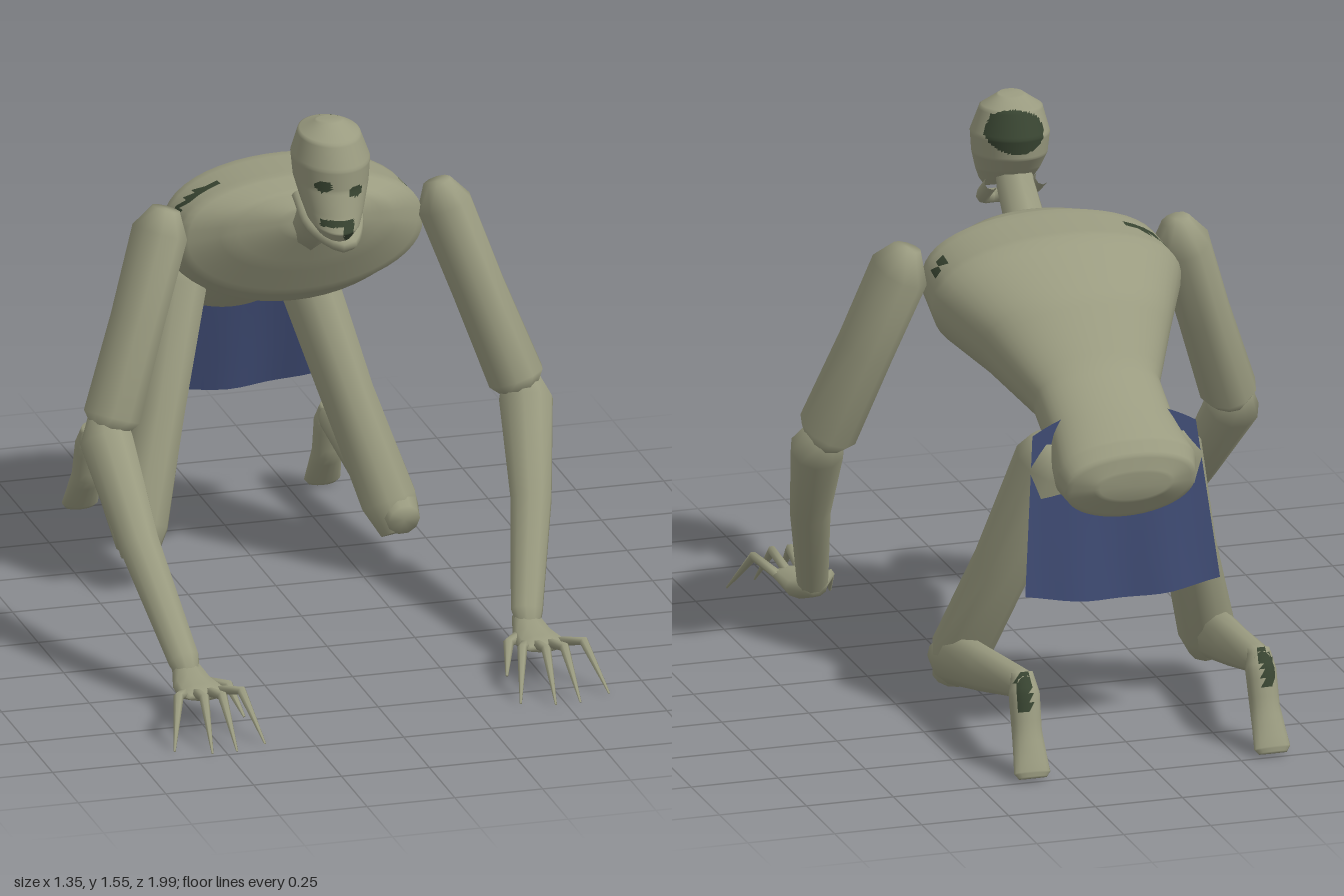
import * as THREE from 'three';

const V = (x, y, z) => new THREE.Vector3(x, y, z);
const skin = new THREE.MeshStandardMaterial({ color: 0x9a9b80 });
skin.name = 'skin';
const dark = new THREE.MeshStandardMaterial({ color: 0x384431 });
dark.name = 'darkPatch';
const cloth = new THREE.MeshStandardMaterial({ color: 0x3d4970, side: THREE.DoubleSide });
cloth.name = 'cloth';

// Skin a list of elliptical rings { c: centre, u, v: half axes }; isDark(point) picks painted faces
function loft(name, rings, { n = 12, sub = 1, flat = 1, isDark = () => false } = {}) {
  const list = [];
  rings.forEach((r, i) => {
    const q = rings[i + 1];
    for (let k = 0; k < (q ? sub : 1); k++) {
      const t = k / sub, mix = key => (q ? r[key].clone().lerp(q[key], t) : r[key].clone());
      list.push({ c: mix('c'), u: mix('u'), v: mix('v') });
    }
  });
  const pts = [], m = list.length;
  for (const { c, u, v } of list) {
    for (let j = 0; j < n; j++) {
      const a = (j / n) * Math.PI * 2, s = Math.sin(a);
      const h = s > 0 ? Math.pow(s, flat) : s;
      pts.push(c.clone().addScaledVector(u, Math.cos(a)).addScaledVector(v, h));
    }
  }
  pts.push(list[0].c.clone(), list[m - 1].c.clone());
  const mid = list[m >> 1];
  const along = list[m - 1].c.clone().sub(list[0].c);
  const flip = mid.u.clone().cross(mid.v).dot(along) < 0;
  const faces = [[], []];
  const tri = (a, b, c) => {
    const p = pts[a].clone().add(pts[b]).add(pts[c]).divideScalar(3);
    faces[isDark(p) ? 1 : 0].push(a, flip ? c : b, flip ? b : c);
  };
  for (let j = 0; j < n; j++) {
    const k = (j + 1) % n;
    for (let i = 0; i < m - 1; i++) {
      const a = i * n + j, b = i * n + k;
      tri(a, b, b + n);
      tri(a, b + n, a + n);
    }
    tri(m * n, k, j);
    tri(m * n + 1, (m - 1) * n + j, (m - 1) * n + k);
  }
  const g = new THREE.BufferGeometry().setFromPoints(pts);
  g.setIndex([...faces[0], ...faces[1]]);
  g.addGroup(0, faces[0].length, 0);
  if (faces[1].length) g.addGroup(faces[0].length, faces[1].length, 1);
  g.computeVertexNormals();
  const mesh = new THREE.Mesh(g, [skin, dark]);
  mesh.name = name;
  return mesh;
}

// Limb along points [x, y, z, sideways radius, other radius]
function limb(name, points, opts) {
  const P = points.map(p => V(p[0], p[1], p[2]));
  const rings = points.map((p, i) => {
    const d = P[Math.min(i + 1, P.length - 1)].clone().sub(P[Math.max(i - 1, 0)]).normalize();
    const u = V(1, 0, 0).addScaledVector(d, -d.x).normalize();
    const v = d.clone().cross(u);
    return { c: P[i], u: u.multiplyScalar(p[3]), v: v.multiplyScalar(p[4] ?? p[3]) };
  });
  return loft(name, rings, opts);
}

// Ring from two opposite profile points (z, y), half width and sideways shift
const profileRing = ([z1, y1, z2, y2, w, x = 0]) => ({
  c: V(x, (y1 + y2) / 2, (z1 + z2) / 2),
  u: V(w, 0, 0),
  v: V(0, (y1 - y2) / 2, (z1 - z2) / 2),
});

function makeTorso() {
  // top z, y; bottom z, y; half width
  const rings = [
    [0.12, 1.24, 0.12, 1.16, 0.07],
    [0.08, 1.28, 0.06, 1.05, 0.23],
    [0.0, 1.3, 0.0, 0.95, 0.345],
    [-0.2, 1.29, -0.08, 0.9, 0.355],
    [-0.4, 1.19, -0.22, 0.86, 0.27],
    [-0.55, 1.03, -0.42, 0.81, 0.18],
    [-0.68, 0.955, -0.55, 0.74, 0.18],
    [-0.8, 0.9, -0.68, 0.67, 0.2],
    [-0.83, 0.86, -0.75, 0.66, 0.185],
    [-0.835, 0.81, -0.82, 0.73, 0.1],
  ].map(profileRing);
  return loft('torso', rings, {
    n: 48, sub: 6, flat: 0.75,
    isDark: p => p.y > 1.13 && Math.abs(p.z + 0.085) < 0.018 &&
      ((p.x < -0.2 && p.x > -0.36) || (p.x > 0.3 && p.x < 0.335)),
  });
}

function makeHead() {
  const head = new THREE.Group();
  head.name = 'head';
  // front z, y; back z, y; half width; shift
  const rings = [
    [0.3, 1.556, 0.24, 1.552, 0.035],
    [0.37, 1.51, 0.17, 1.53, 0.085],
    [0.397, 1.44, 0.13, 1.46, 0.107, 0.005],
    [0.395, 1.38, 0.14, 1.4, 0.102, 0.005],
    [0.415, 1.31, 0.18, 1.355, 0.086],
    [0.43, 1.27, 0.22, 1.32, 0.072, -0.005],
    [0.41, 1.245, 0.25, 1.3, 0.055, -0.005],
  ].map(profileRing);
  const spot = (p, x, y, rx, ry) => ((p.x - x) / rx) ** 2 + ((p.y - y) / ry) ** 2 < 1;
  head.add(loft('skull', rings, {
    n: 72, sub: 10,
    isDark: p => p.z > 0.3
      ? spot(p, -0.047, 1.396, 0.021, 0.017) || spot(p, 0.043, 1.378, 0.022, 0.015) ||
        (Math.abs(p.y - 1.298) < 0.009 && p.x > -0.06 && p.x < 0.03) ||
        spot(p, 0.012, 1.275, 0.016, 0.03)
      : p.z < 0.215 && spot(p, 0.02, 1.475, 0.08, 0.058),
  }));
  // Lower jaw: a bent bar hanging from the cheeks
  const jawCurve = new THREE.CatmullRomCurve3([
    V(-0.07, 1.32, 0.21), V(-0.055, 1.255, 0.3), V(0.015, 1.222, 0.385),
    V(0.07, 1.255, 0.3), V(0.075, 1.32, 0.21),
  ]);
  const jaw = new THREE.Mesh(new THREE.TubeGeometry(jawCurve, 20, 0.02, 8), skin);
  jaw.name = 'jaw';
  head.add(jaw);
  head.add(limb('neck', [
    [0, 1.15, 0.05, 0.06], [0, 1.21, 0.13, 0.06], [0, 1.3, 0.225, 0.055], [0, 1.36, 0.26, 0.05],
  ], { n: 8 }));
  return head;
}

function makeArm(s, wz) {
  const arm = new THREE.Group();
  arm.name = s > 0 ? 'leftArm' : 'rightArm';
  const add = (name, pts, n = 10) =>
    arm.add(limb(name, pts.map(([x, ...rest]) => [s * x, ...rest]), { n }));
  add('upperArm', [
    [0.385, 1.235, 0, 0.04, 0.04], [0.405, 1.17, 0.005, 0.077, 0.105],
    [0.485, 0.94, 0.06, 0.075, 0.1], [0.575, 0.69, 0.12, 0.08, 0.1], [0.58, 0.65, 0.13, 0.05, 0.06],
  ]);
  add('forearm', [
    [0.59, 0.69, 0.11, 0.05], [0.597, 0.63, 0.145, 0.076],
    [0.565, 0.4, 0.145 + (wz - 0.145) * 0.45, 0.058],
    [0.505, 0.14, wz - 0.03, 0.045], [0.5, 0.1, wz + 0.01, 0.03],
  ]);
  add('palm', [
    [0.5, 0.12, wz - 0.04, 0.035, 0.03], [0.5, 0.09, wz + 0.05, 0.058, 0.035],
    [0.5, 0.1, wz + 0.13, 0.068, 0.024], [0.5, 0.1, wz + 0.17, 0.05, 0.012],
  ]);
  // Clawed fingers: base offset, tip offset, reach
  for (const [b, t, z] of [[0.05, 0.135, 0.33], [0.018, 0.04, 0.375], [-0.016, -0.03, 0.375], [-0.048, -0.12, 0.34]]) {
    add('finger', [
      [0.5 + b, 0.1, wz + 0.13, 0.014], [0.5 + (b + t) / 2, 0.13, wz + z * 0.68, 0.014],
      [0.5 + t, 0.01, wz + z, 0.003],
    ], 6);
  }
  add('thumb', [
    [0.46, 0.09, wz + 0.04, 0.018], [0.415, 0.1, wz + 0.1, 0.015], [0.39, 0.03, wz + 0.17, 0.004],
  ], 6);
  return arm;
}

function makeLeg(s) {
  const leg = new THREE.Group();
  leg.name = s > 0 ? 'leftLeg' : 'rightLeg';
  const add = (name, pts, opts) =>
    leg.add(limb(name, pts.map(([x, ...rest]) => [s * x, ...rest]), opts));
  add('thigh', [
    [0.175, 0.86, -0.61, 0.05], [0.18, 0.79, -0.6, 0.085, 0.105], [0.27, 0.46, -0.48, 0.075, 0.1],
    [0.355, 0.18, -0.365, 0.08, 0.088], [0.37, 0.1, -0.325, 0.05, 0.045],
  ], { n: 10 });
  add('shin', [
    [0.375, 0.15, -0.28, 0.045, 0.045], [0.37, 0.165, -0.35, 0.065, 0.078],
    [0.355, 0.205, -0.6, 0.05, 0.062], [0.34, 0.25, -0.86, 0.042, 0.042], [0.34, 0.26, -0.91, 0.025, 0.025],
  ], { n: 10 });
  add('foot', [
    [0.34, 0.285, -0.875, 0.03, 0.025], [0.34, 0.23, -0.895, 0.043, 0.042],
    [0.342, 0.13, -0.925, 0.042, 0.038], [0.345, 0.03, -0.982, 0.052, 0.022], [0.345, 0.015, -0.988, 0.04, 0.014],
  ], { n: 16, sub: 4, isDark: p => p.y > 0.2 && p.z < -0.9 && Math.abs(p.x - s * 0.35) < 0.02 });
  return leg;
}

// Loin cloth: a hanging sheet with soft folds
function makeCloth() {
  const g = new THREE.PlaneGeometry(2, 1, 16, 6), p = g.attributes.position;
  for (let i = 0; i < p.count; i++) {
    const a = p.getX(i), t = 0.5 - p.getY(i);
    const top = 0.95 - 0.07 * a * a, hem = 0.415 + 0.03 * a * a;
    p.setXYZ(i, a * (0.235 + 0.045 * t), top + (hem - top) * t,
      -0.645 - 0.082 * t + 0.009 * t * Math.cos(a * 7));
  }
  g.computeVertexNormals();
  const mesh = new THREE.Mesh(g, cloth);
  mesh.name = 'loinCloth';
  return mesh;
}

export function createModel() {
  const model = new THREE.Group();
  model.name = 'crouchingCreature';
  model.add(makeTorso(), makeHead(), makeCloth());
  model.add(makeArm(1, 0.5), makeArm(-1, 0.61), makeLeg(1), makeLeg(-1));
  return model;
}
